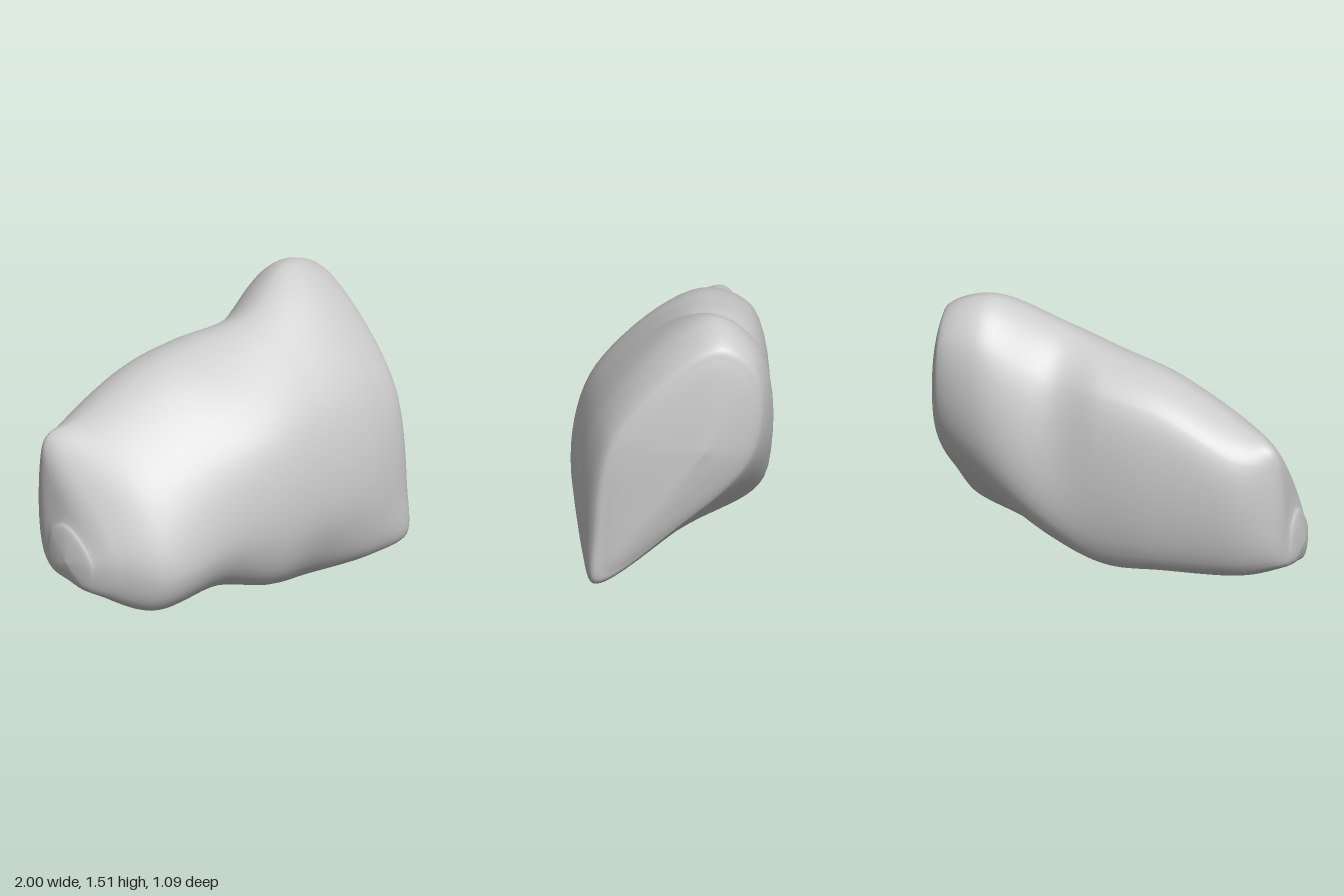
import * as THREE from 'three';
import { mergeVertices } from 'three/addons/utils/BufferGeometryUtils.js';

// Cross-sections across x. Each loop of [z, y] runs: front foot, front belly, front shoulder,
// crest, back shoulder, back foot.
const SECTIONS = [
  { x: -0.96, loop: [[0, .17], [.05, .3], [-.03, .42], [-.17, .5], [-.27, .44], [-.27, .24]] },
  { x: -0.9, loop: [[.09, .14], [.15, .32], [-.02, .6], [-.36, .89], [-.4, .8], [-.36, .25]] },
  { x: -0.72, loop: [[.25, .06], [.35, .26], [.16, .68], [-.28, .98], [-.48, .85], [-.43, .23]] },
  { x: -0.3, loop: [[.3, .1], [.44, .33], [.33, .8], [-.17, 1.18], [-.47, 1.05], [-.46, .22]] },
  { x: 0.02, loop: [[.37, .04], [.51, .35], [.4, .9], [-.12, 1.26], [-.44, 1.11], [-.44, .22]] },
  { x: 0.3, loop: [[.34, .01], [.53, .34], [.42, .95], [-.06, 1.34], [-.37, 1.12], [-.46, .38]] },
  { x: 0.68, loop: [[.45, .05], [.54, .38], [.41, 1], [-.15, 1.51], [-.41, 1.3], [-.42, .66]] },
  { x: 0.9, loop: [[.48, .11], [.49, .36], [.38, .95], [-.16, 1.44], [-.36, 1.3], [-.35, .8]] },
];

// Blunt end: the outermost loop shrinks towards a tip; pairs are [loop scale, way to the tip].
function cap(section, tip) {
  return [[0.88, 0.32], [0.5, 0.72], [0, 1]].map(([s, t]) => ({
    x: section.x + (tip.x - section.x) * t,
    loop: section.loop.map(([z, y]) => [tip.z + (z - tip.z) * s, tip.y + (y - tip.y) * s]),
  }));
}

function boulderGeometry(steps = 130, sides = 70) {
  const first = SECTIONS[0], last = SECTIONS[SECTIONS.length - 1];
  const all = [
    ...cap(first, { x: -1, y: 0.3, z: -0.12 }).reverse(),
    ...SECTIONS,
    ...cap(last, { x: 1, y: 0.88, z: -0.08 }),
  ];
  // Smooth rails run lengthwise; a closed curve joins them at every step.
  const rails = first.loop.map((_, k) => new THREE.CatmullRomCurve3(
    all.map(({ x, loop }) => new THREE.Vector3(x, loop[k][1], loop[k][0]))));
  const positions = [], index = [];
  for (let i = 0; i <= steps; i++) {
    const corners = rails.map((rail) => rail.getPoint(i / steps));
    // The underside sags a little between the two feet.
    const underside = corners[0].clone().lerp(corners[5], 0.5);
    underside.y -= 0.06 * corners[0].distanceTo(corners[5]);
    const ring = new THREE.CatmullRomCurve3([...corners, underside], true);
    for (let j = 0; j < sides; j++) {
      positions.push(...ring.getPoint(j / sides));
      if (i === steps) continue;
      const a = i * sides + j, b = i * sides + (j + 1) % sides;
      index.push(a, a + sides, b, b, a + sides, b + sides);
    }
  }
  let geometry = new THREE.BufferGeometry();
  geometry.setAttribute('position', new THREE.Float32BufferAttribute(positions, 3));
  geometry.setIndex(index);
  geometry = mergeVertices(geometry, 1e-5);
  // Rest the stone on the ground.
  geometry.computeBoundingBox();
  geometry.translate(0, -geometry.boundingBox.min.y, 0);
  geometry.computeVertexNormals();
  return geometry;
}

export function createModel() {
  const group = new THREE.Group();
  group.name = 'rock';
  const boulder = new THREE.Mesh(boulderGeometry(), new THREE.MeshStandardMaterial({ color: 0xcccccc }));
  boulder.name = 'boulder';
  group.add(boulder);
  return group;
}
